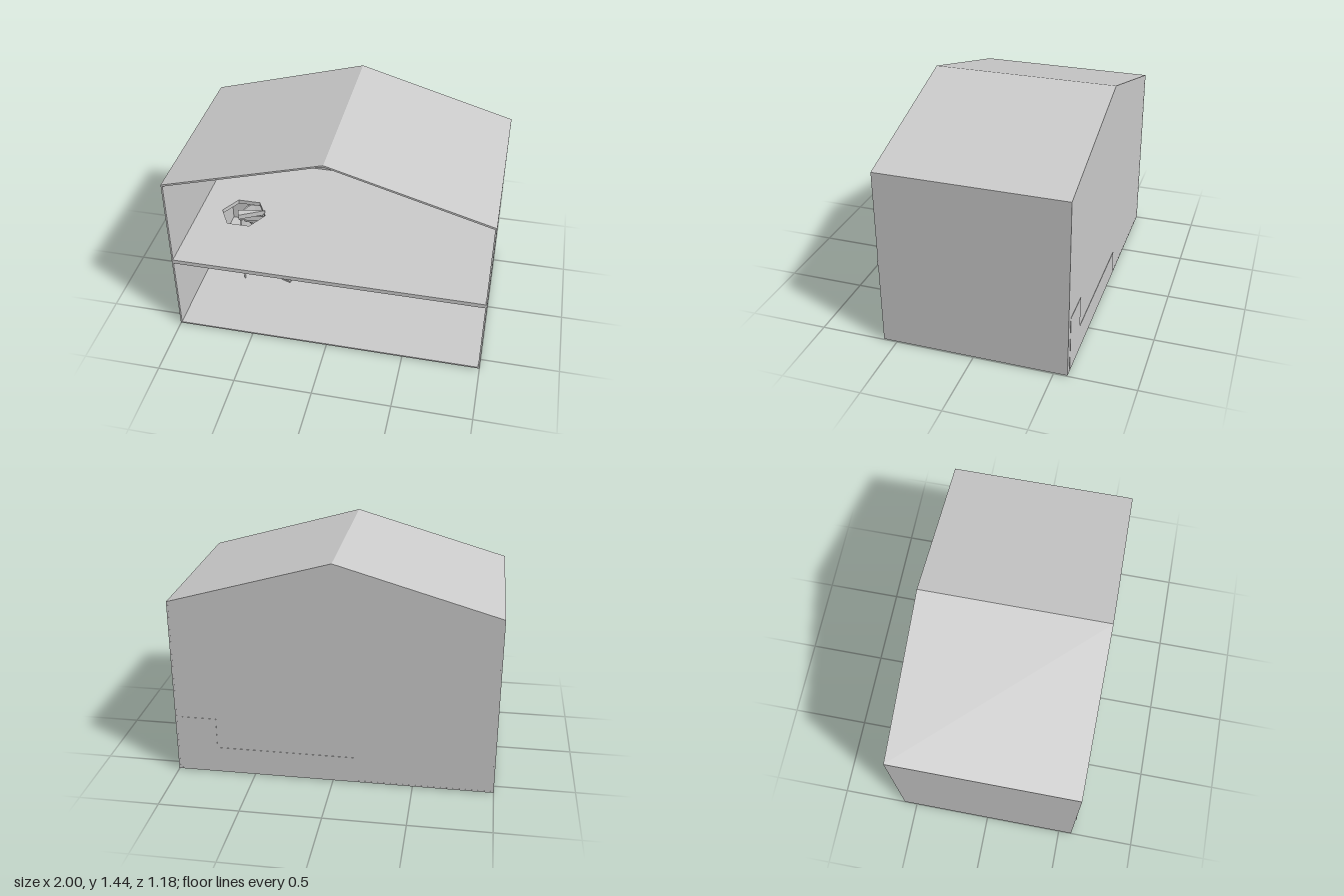
import * as THREE from 'three';

const material = new THREE.MeshStandardMaterial({ color: 0xcccccc, flatShading: true, side: THREE.DoubleSide });
const HALF_DEPTH = 0.585;

const points = (list) => list.map(([x, y]) => new THREE.Vector2(x, y));

function addExtrusion(parent, name, shape, depth) {
  const geometry = new THREE.ExtrudeGeometry(shape, { depth, bevelEnabled: false, curveSegments: 6 });
  const mesh = new THREE.Mesh(geometry, material);
  mesh.name = name;
  parent.add(mesh);
  return mesh;
}

// Horizontal slab: the shape's second axis becomes z, thickness runs upward from y
function addSlab(parent, name, shape, y, thickness) {
  const mesh = addExtrusion(parent, name, shape, thickness);
  mesh.rotation.x = Math.PI / 2;
  mesh.position.y = y + thickness;
  return mesh;
}

// Gabled house outline, inset by t
const houseOutline = (t) => points([
  [-1 + t, 0.005 + t], [1 - t, 0.005 + t], [1 - t, 1.15 - t], [0, 1.437 - t * 1.1], [-1 + t, 1.15 - t],
]);

// Sector or ring sector in plan, angles measured in degrees from +x toward the back
function sector(inner, outer, a0, a1) {
  const list = [];
  const steps = Math.max(1, Math.round((a1 - a0) / 19));
  const at = (r, a) => [r * Math.cos(a * Math.PI / 180), -r * Math.sin(a * Math.PI / 180)];
  for (let i = 0; i <= steps; i++) list.push(at(outer, a0 + (a1 - a0) * i / steps));
  if (inner === 0) list.push([0, 0]);
  else for (let i = steps; i >= 0; i--) list.push(at(inner, a0 + (a1 - a0) * i / steps));
  return new THREE.Shape(points(list));
}

function createStaircase() {
  const stairs = new THREE.Group();
  stairs.name = 'spiralStaircase';
  const turn = 19, start = -20, solidSteps = 7, count = 12;
  for (let i = 0; i < count; i++) {
    const a = start + i * turn;
    const top = i === count - 1 ? 0.583 : 0.03 + i * 0.05;
    const bottom = i < solidSteps ? 0 : top - 0.035;
    addSlab(stairs, 'step', sector(0, 0.182, a, a + turn), bottom, top - bottom);
  }
  // Curved wall carrying the upper steps
  const from = start + solidSteps * turn;
  addSlab(stairs, 'stairWall', sector(0.165, 0.175, from, start + count * turn), 0.005, 0.53);
  stairs.position.x = -0.55;
  return stairs;
}

export function createModel() {
  const house = new THREE.Group();
  house.name = 'house';

  // Side walls, ground floor and roof as one thin shell, open at the front
  const shellShape = new THREE.Shape(houseOutline(0));
  shellShape.holes.push(new THREE.Path(houseOutline(0.01)));
  addExtrusion(house, 'wallsAndRoof', shellShape, HALF_DEPTH * 2).position.z = -HALF_DEPTH;

  // Back wall
  addExtrusion(house, 'backWall', new THREE.Shape(houseOutline(0.001)), 0.01).position.z = -HALF_DEPTH + 0.0005;

  // Low L-shaped panel set in the back wall
  const panel = new THREE.Shape(points([
    [-0.155, 0.01], [0.957, 0.01], [0.957, 0.38], [0.738, 0.38], [0.738, 0.178], [-0.155, 0.178],
  ]));
  addExtrusion(house, 'backPanel', panel, 0.013).position.z = -0.5865;

  // Upper floor with a six-sided stairwell opening
  const floor = new THREE.Shape(points([[-0.998, -0.58], [0.998, -0.58], [0.998, 0.59], [-0.998, 0.59]]));
  const opening = [];
  for (let i = 0; i < 6; i++) {
    const a = (i * Math.PI) / 3;
    opening.push([-0.69 + 0.15 * Math.cos(a), 0.03 + 0.15 * Math.sin(a)]);
  }
  floor.holes.push(new THREE.Path(points(opening)));
  addSlab(house, 'upperFloor', floor, 0.537, 0.028);

  house.add(createStaircase());
  return house;
}
